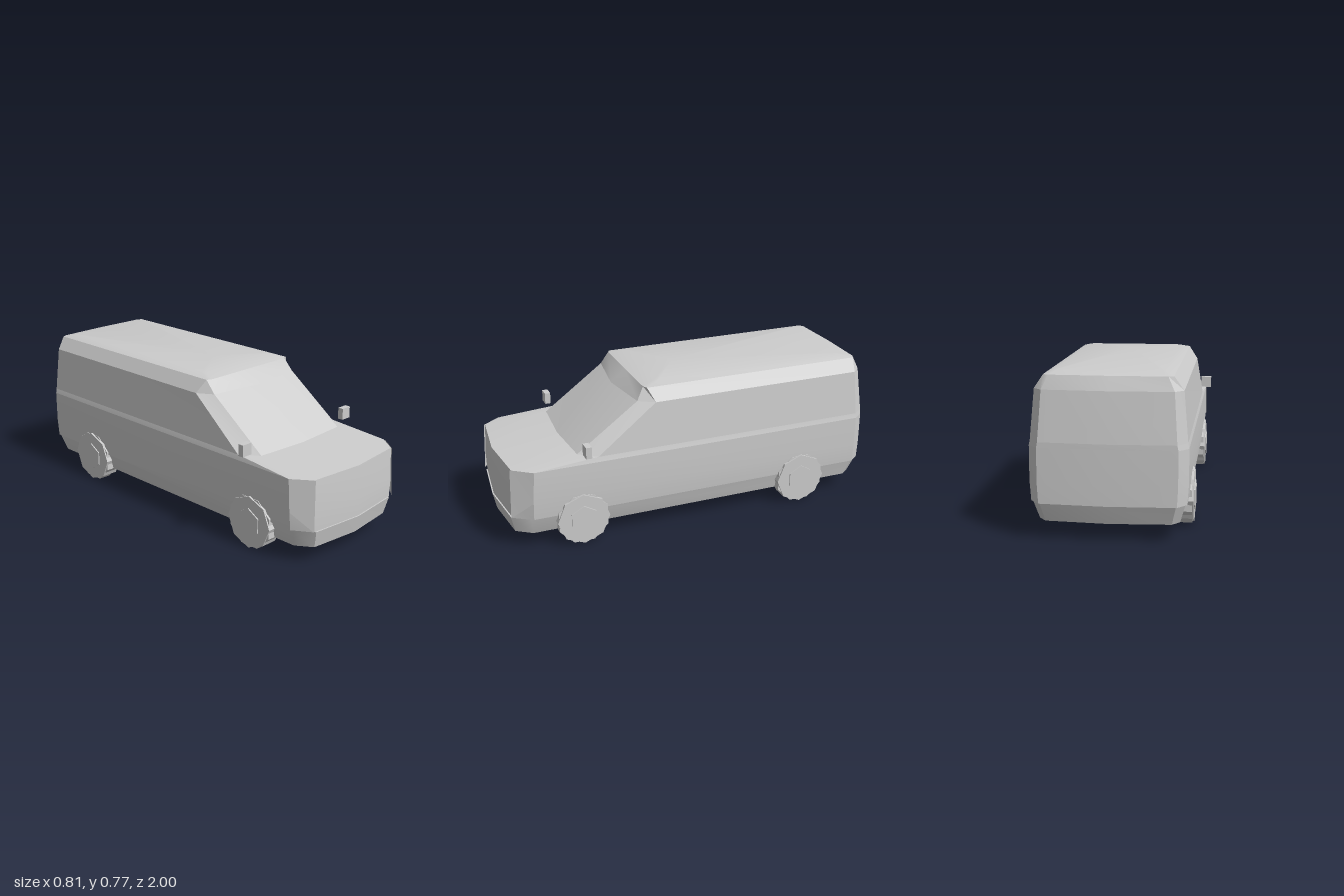
import * as THREE from 'three';
import { toCreasedNormals } from 'three/addons/utils/BufferGeometryUtils.js';

// Each level is a height and half a plan outline [x, z] from front centre to rear centre.
const bodyBack = [[0.365, -0.93], [0.32, -0.985], [0, -1]];
const floor = { y: 0.085, half: [[0, 0.98], [0.27, 0.95], [0.325, 0.87], [0.325, -0.9], [0.29, -0.945], [0, -0.965]] };
const bumperTop = { y: 0.175, half: [[0, 1], [0.285, 0.97], [0.345, 0.88], [0.35, -0.93], [0.31, -0.98], [0, -0.998]] };
const skirt = { y: 0.175, half: [[0, 0.993], [0.295, 0.962], [0.355, 0.87], [0.358, -0.93], [0.315, -0.983], [0, -1]] };
const flank = { y: 0.27, half: [[0, 0.995], [0.295, 0.965], [0.365, 0.87], ...bodyBack] };
const shoulder = { y: 0.435, half: [[0, 0.985], [0.295, 0.955], [0.365, 0.86], ...bodyBack] };
const belt = { y: 0.46, half: [[0, 0.64], [0.29, 0.62], [0.358, 0.53], [0.36, -0.93], [0.315, -0.985], [0, -1]] };
const windowTop = { y: 0.695, half: [[0, 0.34], [0.29, 0.3], [0.34, 0.22], [0.34, -0.915], [0.3, -0.958], [0, -0.972]] };
const roofEdge = { y: 0.76, half: [[0, 0.262], [0.27, 0.262], [0.295, 0.25], [0.295, -0.925], [0.27, -0.938], [0, -0.945]] };
const roofTop = { y: 0.776, half: [[0, 0.19], [0.235, 0.185], [0.25, 0.17], [0.25, -0.85], [0.235, -0.865], [0, -0.87]] };

function ringPoints({ y, half }) {
  const mirrored = half.slice(1, -1).reverse().map(([x, z]) => [-x, z]);
  return [...half, ...mirrored].map(([x, z]) => [x, y, z]);
}

// Skins the levels from bottom to top, with optional end caps
function loft(levels, crease, capBottom, capTop) {
  const rings = levels.map(ringPoints);
  const n = rings[0].length;
  const out = [];
  for (let i = 0; i < rings.length - 1; i++) {
    for (let j = 0; j < n; j++) {
      const k = (j + 1) % n;
      const a = rings[i][j], b = rings[i][k], c = rings[i + 1][j], d = rings[i + 1][k];
      out.push(...a, ...b, ...c, ...b, ...d, ...c);
    }
  }
  const cap = (ring, up) => {
    const centre = [0, ring[0][1], 0];
    for (let j = 0; j < n; j++) {
      const p = ring[j], q = ring[(j + 1) % n];
      out.push(...centre, ...(up ? p : q), ...(up ? q : p));
    }
  };
  if (capBottom) cap(rings[0], false);
  if (capTop) cap(rings[rings.length - 1], true);
  const geometry = new THREE.BufferGeometry();
  geometry.setAttribute('position', new THREE.Float32BufferAttribute(out, 3));
  return toCreasedNormals(geometry, crease);
}

// Cylinder lying along x, with a corner pointing up when turn is 0
function disc(radius, width, sides, turn = 0) {
  const geometry = new THREE.CylinderGeometry(radius, radius, width, sides);
  geometry.rotateY(turn).rotateZ(Math.PI / 2);
  return toCreasedNormals(geometry, 0.3);
}

export function createModel() {
  const paint = new THREE.MeshStandardMaterial({ color: 0xcccccc });
  paint.name = 'light grey';
  const thinPaint = paint;
  thinPaint.side = THREE.DoubleSide;

  const van = new THREE.Group();
  van.name = 'van';
  const add = (name, geometry, parent = van) => {
    const mesh = new THREE.Mesh(geometry, paint);
    mesh.name = name;
    parent.add(mesh);
    return mesh;
  };

  // Body shell
  add('bumperAndSill', loft([floor, bumperTop], 0.6, true, true));
  add('lowerBody', loft([skirt, flank, shoulder], 0.5, true, false));
  add('bonnetAndBelt', loft([shoulder, belt], 0.5, false, false));
  add('cabin', loft([belt, windowTop], 0.5, false, false));
  add('roof', loft([windowTop, roofEdge, roofTop], 0.45, false, true));

  // Lamps and mirrors
  for (const [side, s] of [['left', 1], ['right', -1]]) {
    const lamp = new THREE.BufferGeometry();
    const corners = [[0.293, 0.435, 0.962], [0.367, 0.435, 0.866], [0.368, 0.27, 0.874], [0.303, 0.178, 0.972]];
    lamp.setAttribute('position', new THREE.Float32BufferAttribute(corners.flatMap(([x, y, z]) => [s * x, y, z]), 3));
    lamp.setIndex(s > 0 ? [0, 2, 1, 0, 3, 2] : [0, 1, 2, 0, 2, 3]);
    lamp.computeVertexNormals();
    add(side + 'HeadLamp', lamp);

    const mirror = add(side + 'Mirror', new THREE.BoxGeometry(0.058, 0.06, 0.03));
    mirror.position.set(s * 0.376, 0.51, 0.592);

    // Wheels with hub cap and arch lining
    for (const [end, z] of [['Front', 0.62], ['Rear', -0.6]]) {
      const wheel = new THREE.Group();
      wheel.name = side + end + 'Wheel';
      wheel.position.set(s * 0.33, 0.138, z);
      van.add(wheel);
      add('tyre', disc(0.136, 0.09, 8), wheel);
      add('hubCap', disc(0.075, 0.012, 6, Math.PI / 6), wheel).position.x = s * 0.045;
      const arch = add('wheelArch', disc(0.138, 0.07, 8, Math.PI / 8), wheel);
      arch.position.x = s * 0.003;
    }
  }
  return van;
}
